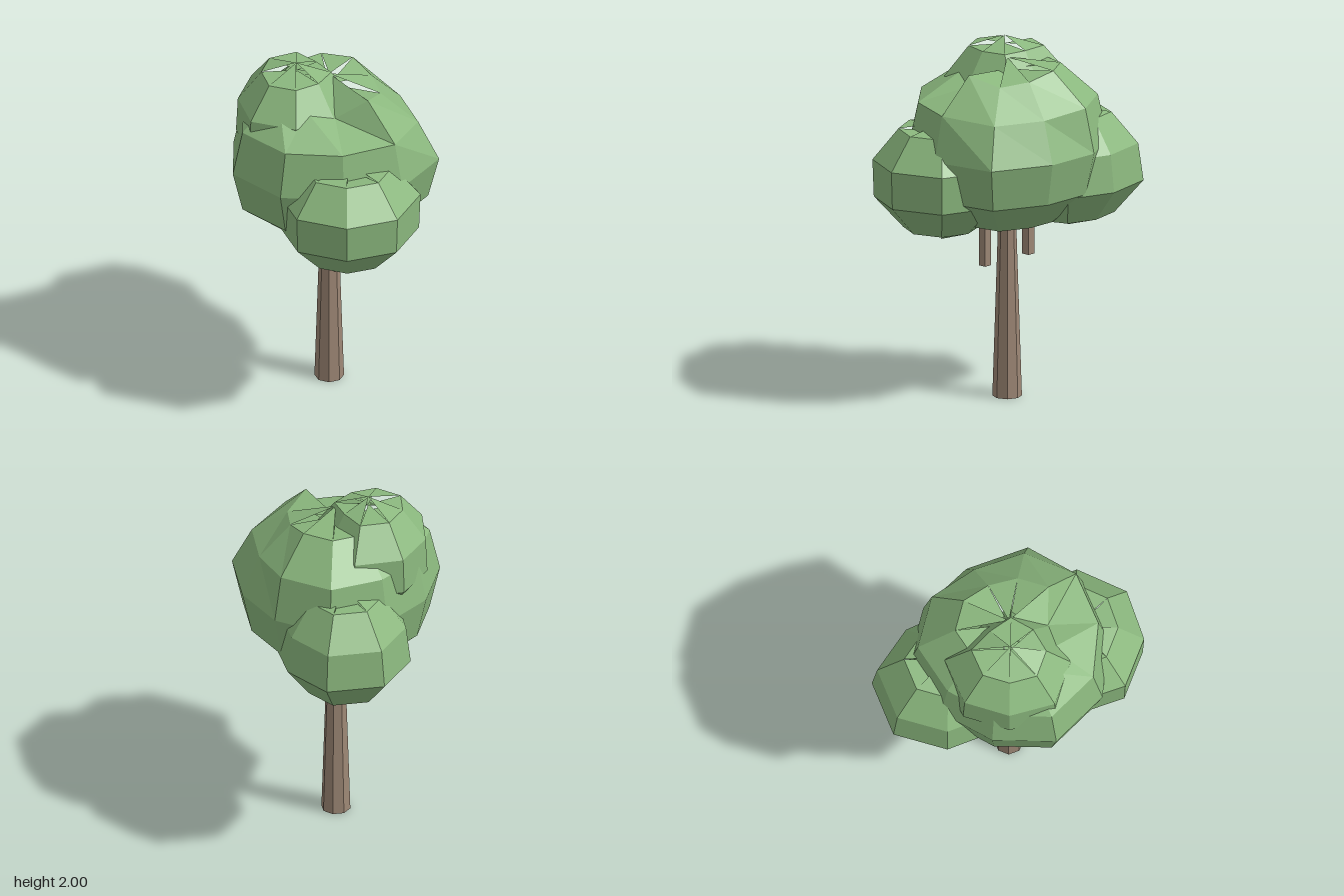
import * as THREE from 'three';

const leafGreen = new THREE.MeshStandardMaterial({ color: 0x8bb87e });
const barkBrown = new THREE.MeshStandardMaterial({ color: 0x9d8775 });

// Give every facet its own flat normal
function faceted(geometry) {
  const flat = geometry.toNonIndexed();
  flat.computeVertexNormals();
  return flat;
}

function addMesh(group, name, geometry, material, x, y, z) {
  const mesh = new THREE.Mesh(faceted(geometry), material);
  mesh.name = name;
  mesh.position.set(x, y, z);
  group.add(mesh);
}

// Leaf clump: heights run from top pole to bottom pole, rings scale each level,
// radii go round from -x through +z, dents are [row, column, scale].
// Every second facet at a pole sinks a little, which leaves ragged tips.
function clumpGeometry({ heights, rings, radii, dents = [] }) {
  const cols = radii.length;
  const rows = heights.length - 1;
  const middle = (heights[0] + heights[rows]) / 2;
  const geometry = new THREE.SphereGeometry(1, cols, rows);
  const pos = geometry.attributes.position;
  for (let i = 0; i < pos.count; i++) {
    const row = Math.floor(i / (cols + 1));
    const col = (i % (cols + 1)) % cols;
    const angle = (col / cols) * Math.PI * 2;
    const dent = dents.find(([r, c]) => r === row && c === col);
    let scale = dent ? dent[2] : 1;
    if (row % rows === 0 && col % 2 === 1) scale = 0.86;
    const radius = radii[col] * rings[row] * scale;
    const y = middle + (heights[row] - middle) * scale;
    pos.setXYZ(i, -Math.cos(angle) * radius, y, Math.sin(angle) * radius);
  }
  return geometry;
}

const clumps = [
  {
    name: 'mainCanopy', x: 0, z: -0.035,
    heights: [1.925, 1.88, 1.69, 1.44, 1.2, 1.02, 0.96],
    rings: [0, 0.53, 0.9, 1, 0.9, 0.52, 0],
    radii: [0.52, 0.53, 0.59, 0.58, 0.55, 0.57, 0.61, 0.53, 0.53, 0.56],
    dents: [[1, 3, 0.87], [1, 4, 0.74], [1, 6, 0.88], [2, 6, 0.9], [1, 7, 0.92], [2, 7, 0.91]],
  },
  {
    name: 'topClump', x: -0.12, z: 0.1,
    heights: [2, 1.94, 1.77, 1.57, 1.4, 1.33],
    rings: [0, 0.58, 0.97, 1, 0.6, 0],
    radii: [0.36, 0.33, 0.36, 0.34, 0.3, 0.33, 0.27, 0.37],
  },
  {
    name: 'leftClump', x: 0.33, z: 0.15,
    heights: [1.58, 1.55, 1.375, 1.165, 0.99, 0.92],
    rings: [0, 0.62, 1, 0.98, 0.55, 0],
    radii: [0.37, 0.38, 0.39, 0.375, 0.39, 0.4, 0.38, 0.38],
  },
  {
    name: 'rightClump', x: -0.31, z: -0.19,
    heights: [1.63, 1.58, 1.4, 1.19, 1.01, 0.94],
    rings: [0, 0.58, 0.93, 1, 0.62, 0],
    radii: [0.42, 0.38, 0.38, 0.38, 0.38, 0.38, 0.36, 0.42],
  },
];

export function createModel() {
  const tree = new THREE.Group();
  tree.name = 'tree';

  // Tapered trunk
  addMesh(tree, 'trunk', new THREE.CylinderGeometry(0.046, 0.081, 1.1, 8), barkBrown, 0, 0.55, -0.035);

  // Short square branch stubs below the leaves
  addMesh(tree, 'leftBranch', new THREE.BoxGeometry(0.048, 0.4, 0.048), barkBrown, 0.109, 0.95, 0.028);
  addMesh(tree, 'rightBranch', new THREE.BoxGeometry(0.048, 0.35, 0.048), barkBrown, -0.099, 0.975, -0.1);

  // Leaf clumps
  for (const c of clumps) {
    addMesh(tree, c.name, clumpGeometry(c), leafGreen, c.x, 0, c.z);
  }
  return tree;
}
